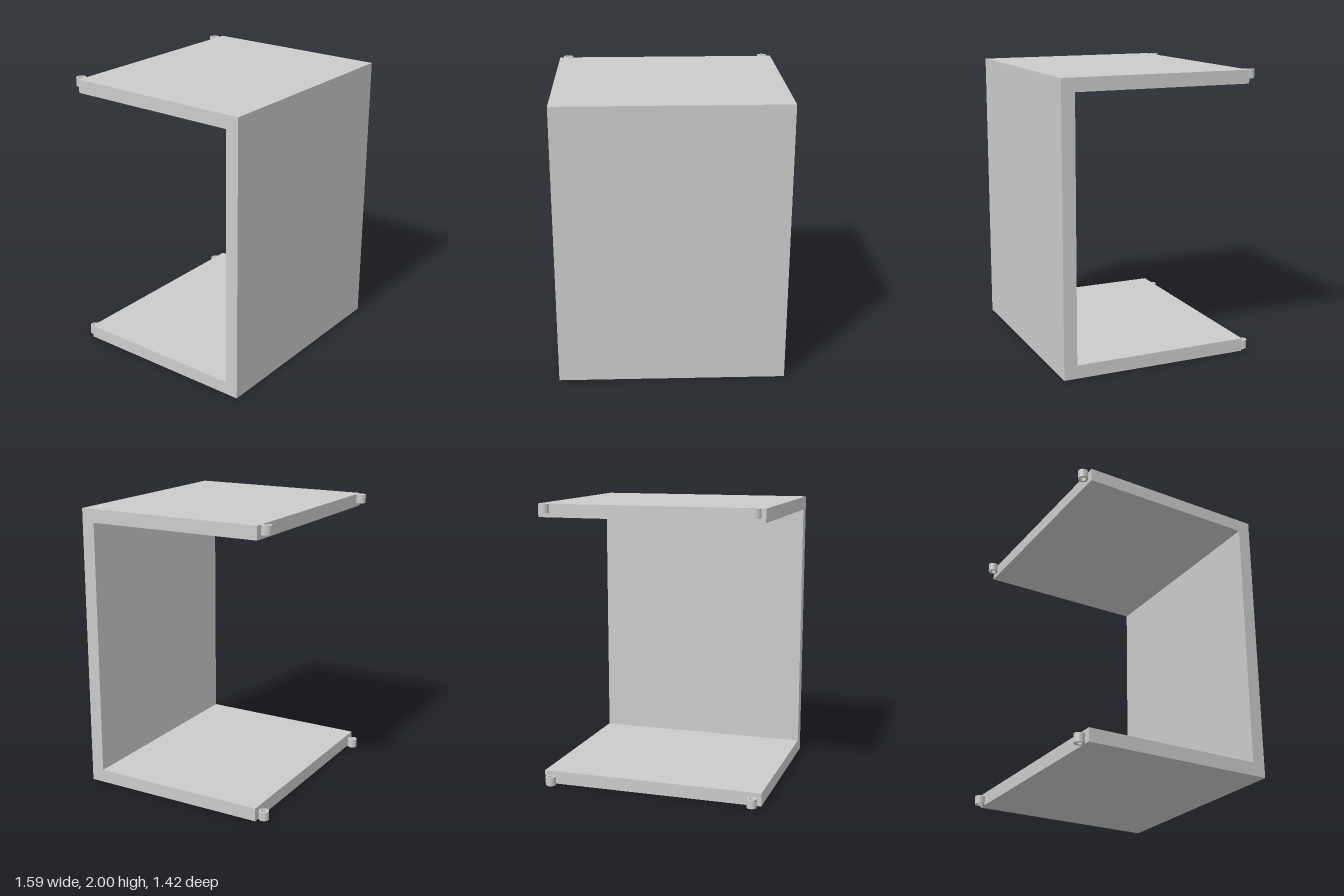
import * as THREE from 'three';

const WIDTH = 1.594, HEIGHT = 2, FRONT = 0.712, BACK = -0.643, WALL = 0.093;
const RING = { outer: 0.035, inner: 0.02, height: 0.062, x: 0.737, z: -0.677 };

export function createModel() {
  const model = new THREE.Group();
  model.name = 'bracketShell';
  const material = new THREE.MeshStandardMaterial({ color: 0xcccccc });

  // C-shaped shell: front panel with top and bottom panels, profile in (z, y)
  const profile = new THREE.Shape([
    [BACK, 0], [FRONT, 0], [FRONT, HEIGHT], [BACK, HEIGHT],
    [BACK, HEIGHT - WALL], [FRONT - WALL, HEIGHT - WALL],
    [FRONT - WALL, WALL], [BACK, WALL],
  ].map(([z, y]) => new THREE.Vector2(z, y)));
  const shellGeometry = new THREE.ExtrudeGeometry(profile, { depth: WIDTH, bevelEnabled: false });
  shellGeometry.translate(0, 0, -WIDTH / 2).rotateY(-Math.PI / 2);
  const shell = new THREE.Mesh(shellGeometry, material);
  shell.name = 'shell';
  model.add(shell);

  // Hinge ring: short upright tube, sharp at its rims
  const { outer, inner, height } = RING;
  const ringShape = new THREE.Shape().absarc(0, 0, outer, 0, Math.PI * 2);
  ringShape.holes.push(new THREE.Path().absarc(0, 0, inner, 0, Math.PI * 2, true));
  const ringGeometry = new THREE.ExtrudeGeometry(ringShape, {
    depth: height, bevelEnabled: false, curveSegments: 32,
  });
  ringGeometry.rotateX(-Math.PI / 2);

  // One ring at each back corner of both panels
  for (const [level, y] of [['bottom', 0], ['top', HEIGHT - height]]) {
    for (const [side, sign] of [['Left', 1], ['Right', -1]]) {
      const ring = new THREE.Mesh(ringGeometry, material);
      ring.name = `${level}${side}HingeRing`;
      ring.position.set(sign * RING.x, y, RING.z);
      model.add(ring);
    }
  }
  return model;
}
